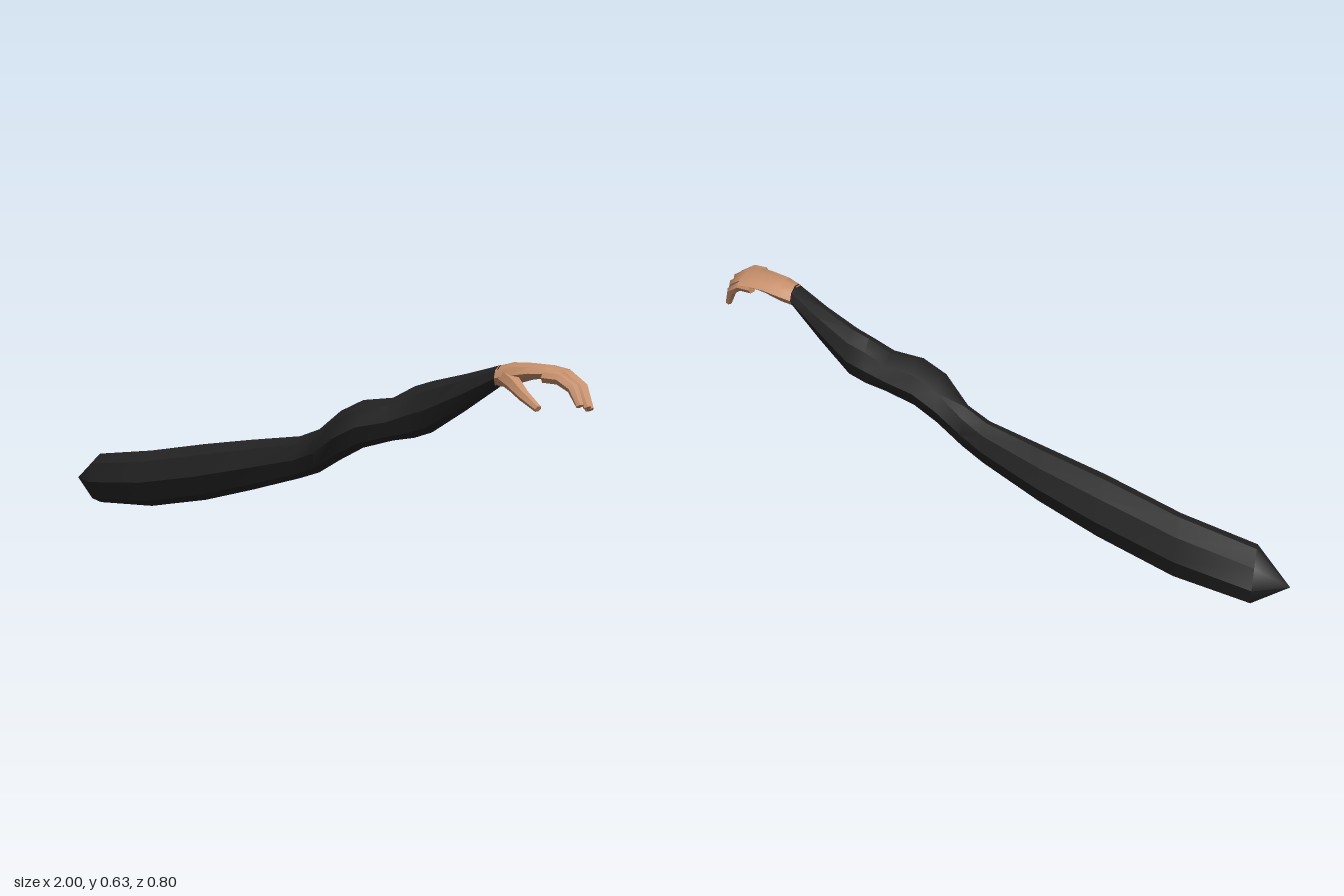
import * as THREE from 'three';
import { toCreasedNormals } from 'three/addons/utils/BufferGeometryUtils.js';

const cloth = new THREE.MeshStandardMaterial({ color: 0x242424 });
const skin = new THREE.MeshStandardMaterial({ color: 0xc8916d });
const V = (x, y, z) => new THREE.Vector3(x, y, z);

// Skin a row of equal rings and close both ends with fans around the given points
function loft(name, rings, startTip, endTip, material, crease) {
  const n = rings[0].length;
  const points = [...rings.flat(), startTip, endTip];
  const s = points.length - 2, e = s + 1, last = (rings.length - 1) * n;
  const index = [];
  for (let j = 0; j < n; j++) {
    const k = (j + 1) % n;
    for (let i = 0; i < rings.length - 1; i++) {
      const a = i * n + j, b = i * n + k;
      index.push(a, b, a + n, b, b + n, a + n);
    }
    index.push(s, k, j, e, last + j, last + k);
  }
  const geometry = new THREE.BufferGeometry().setFromPoints(points);
  geometry.setIndex(index);
  const mesh = new THREE.Mesh(toCreasedNormals(geometry, crease), material);
  mesh.name = name;
  return mesh;
}

// Eight-sided ring across x, given as [x, low y, high y, back z, front z]
function crossRing([x, y0, y1, z0, z1]) {
  return Array.from({ length: 8 }, (_, j) => {
    const a = j * Math.PI / 4;
    return V(x, (y0 + y1) / 2 + (y1 - y0) / 2 * Math.cos(a), (z0 + z1) / 2 + (z1 - z0) / 2 * Math.sin(a));
  });
}

// Bent digit: six-sided sections along a path, with half widths per point
function digit(name, path, widths, flat = 0.85) {
  const rings = path.map((p, i) => {
    const t = path[Math.min(i + 1, path.length - 1)].clone().sub(path[Math.max(i - 1, 0)]).normalize();
    const side = V(-t.z, 0, t.x).normalize();
    const up = side.clone().cross(t).normalize();
    return Array.from({ length: 6 }, (_, j) => {
      const a = (j + 0.5) * Math.PI / 3;
      return p.clone().addScaledVector(up, Math.cos(a) * widths[i] * flat).addScaledVector(side, Math.sin(a) * widths[i]);
    });
  });
  return loft(name, rings, path[0], path[path.length - 1], skin, 0.7);
}

export function createModel() {
  const group = new THREE.Group();
  group.name = 'arm';

  // Sleeve from the shoulder point through the elbow to the wrist
  const sleeve = [
    [-0.89, 0.00, 0.18, -0.40, -0.22],
    [-0.65, 0.015, 0.215, -0.345, -0.155],
    [-0.40, 0.07, 0.265, -0.27, -0.07],
    [-0.20, 0.13, 0.30, -0.20, -0.02],
    [0.00, 0.195, 0.333, -0.11, 0.027],
    [0.08, 0.225, 0.365, -0.07, 0.055],
    [0.17, 0.28, 0.435, -0.048, 0.13],
    [0.25, 0.325, 0.475, -0.03, 0.145],
    [0.35, 0.355, 0.488, -0.008, 0.143],
    [0.42, 0.368, 0.527, 0.00, 0.147],
    [0.48, 0.39, 0.547, 0.01, 0.163],
    [0.60, 0.47, 0.58, 0.085, 0.21],
    [0.72, 0.555, 0.617, 0.163, 0.267],
  ].map(crossRing);
  group.add(loft('sleeve', sleeve, V(-1, 0.08, -0.34), V(0.72, 0.587, 0.215), cloth, 0.7));

  // Hand: palm, four curled fingers and the thumb
  const hand = new THREE.Group();
  hand.name = 'hand';
  const palm = [
    [0.712, 0.553, 0.614, 0.162, 0.265],
    [0.76, 0.562, 0.628, 0.165, 0.288],
    [0.82, 0.582, 0.63, 0.176, 0.312],
    [0.875, 0.592, 0.627, 0.188, 0.338],
    [0.92, 0.592, 0.617, 0.198, 0.352],
  ].map(crossRing);
  hand.add(loft('palm', palm, V(0.712, 0.583, 0.213), V(0.925, 0.605, 0.275), skin, 0.7));

  const fingers = [
    ['littleFinger', 0.214, 0.262, 0.595, 0.505, 0.985],
    ['ringFinger', 0.254, 0.305, 0.603, 0.513, 0.995],
    ['middleFinger', 0.295, 0.344, 0.605, 0.522, 0.995],
    ['indexFinger', 0.334, 0.376, 0.6, 0.53, 0.98],
  ];
  for (const [name, z0, z1, y0, y1, x1] of fingers) {
    const at = (fx, fy, fz) => V(0.87 + (x1 - 0.87) * fx, y0 + (y1 - y0) * fy, z0 + (z1 - z0) * fz);
    const path = [at(0, 0, -0.15), at(0.42, 0.03, 0.2), at(0.78, 0.36, 0.55), at(1, 1, 1)];
    hand.add(digit(name, path, [0.02, 0.02, 0.018, 0.012]));
  }

  const thumb = [V(0.745, 0.585, 0.25), V(0.785, 0.572, 0.312), V(0.82, 0.55, 0.358), V(0.868, 0.519, 0.39)];
  hand.add(digit('thumb', thumb, [0.028, 0.025, 0.019, 0.012]));
  group.add(hand);
  return group;
}
